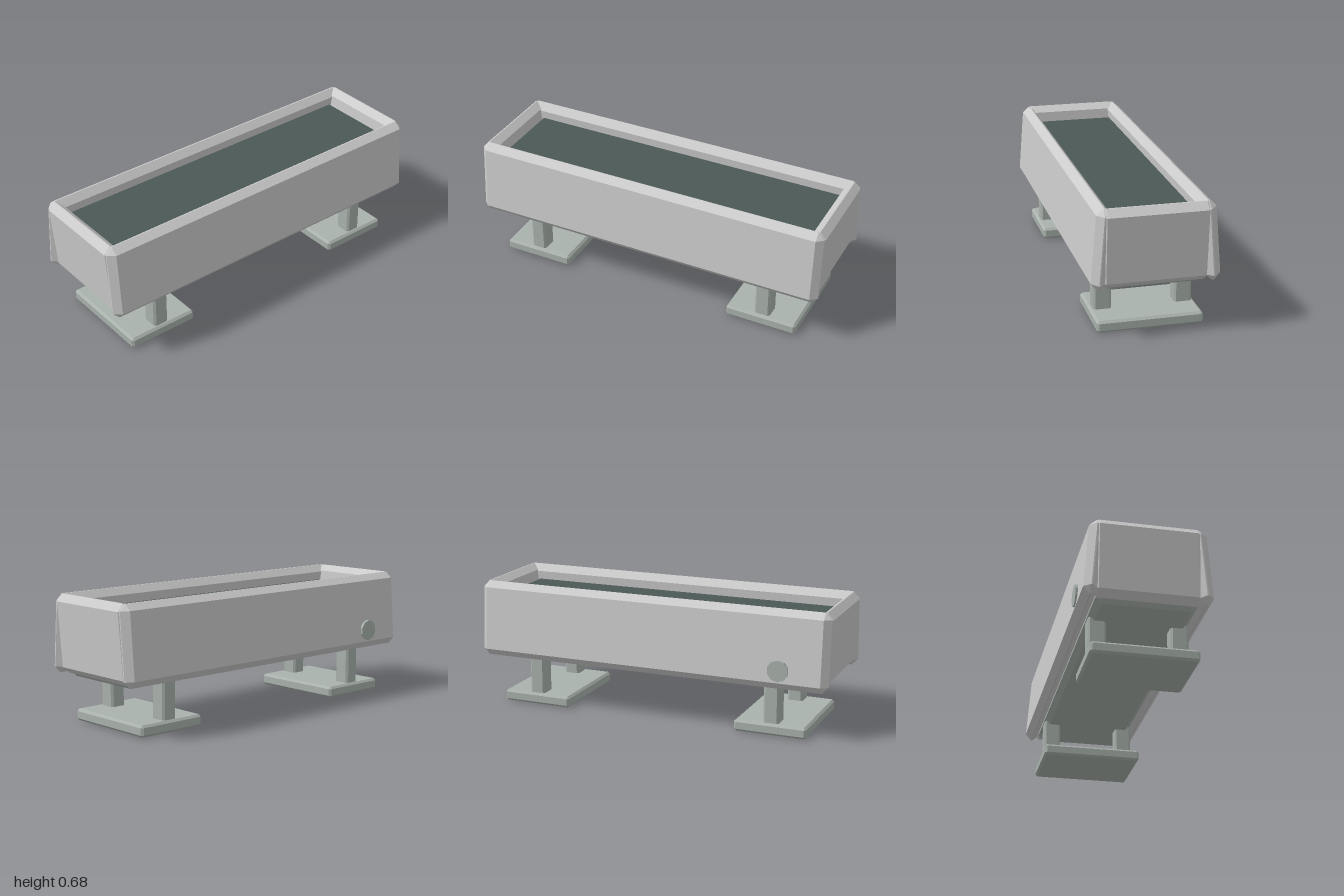
import * as THREE from 'three';
import { ConvexGeometry } from 'three/addons/geometries/ConvexGeometry.js';

const paint = (color) => new THREE.MeshStandardMaterial({ color, flatShading: true });

// Box with every edge cut by a flat chamfer c
function chamferBox(w, h, d, c) {
  const half = [w / 2, h / 2, d / 2];
  const points = [];
  for (const sx of [-1, 1]) for (const sy of [-1, 1]) for (const sz of [-1, 1]) {
    for (let axis = 0; axis < 3; axis++) {
      const p = half.map((v, i) => (i === axis ? v : v - c));
      points.push(new THREE.Vector3(p[0] * sx, p[1] * sy, p[2] * sz));
    }
  }
  return new ConvexGeometry(points);
}

export function createModel() {
  const model = new THREE.Group();
  model.name = 'trough';
  const wall = paint(0xcccccc);
  const base = paint(0xa9b2ac);
  const water = paint(0x4a5856);

  const add = (name, geometry, material, x, y, z) => {
    const mesh = new THREE.Mesh(geometry, material);
    mesh.name = name;
    mesh.position.set(x, y, z + 0.003);
    model.add(mesh);
    return mesh;
  };

  // Long walls lean in at the top, end walls lean out
  const lean = 0.08;
  const longWall = chamferBox(1.99, 0.415, 0.077, 0.035);
  const endWall = chamferBox(0.077, 0.415, 0.57, 0.035);
  for (const s of [1, -1]) {
    add(s > 0 ? 'frontWall' : 'backWall', longWall, wall, 0, 0.472, s * 0.2725).rotation.x = -s * lean;
    add(s > 0 ? 'leftEndWall' : 'rightEndWall', endWall, wall, s * 0.947, 0.472, 0).rotation.z = -s * lean;
  }

  // Floor slab and the water above it
  add('floor', chamferBox(1.87, 0.08, 0.51, 0.03), base, 0, 0.287, 0);
  add('water', new THREE.BoxGeometry(1.81, 0.3, 0.47), water, 0, 0.445, 0);

  // Two foot plates, each with a pair of posts
  const foot = chamferBox(0.395, 0.062, 0.546, 0.012);
  const post = chamferBox(0.086, 0.222, 0.093, 0.011);
  for (const s of [1, -1]) {
    add(s > 0 ? 'leftFoot' : 'rightFoot', foot, base, s * 0.68, 0.031, 0);
    for (const t of [1, -1]) add('post', post, base, s * 0.682, 0.161, t * 0.21);
  }

  // Drain plug on the back wall
  const plug = new THREE.CylinderGeometry(0.057, 0.057, 0.05, 10);
  add('drainPlug', plug, base, -0.735, 0.368, -0.306).rotation.x = Math.PI / 2;

  return model;
}
